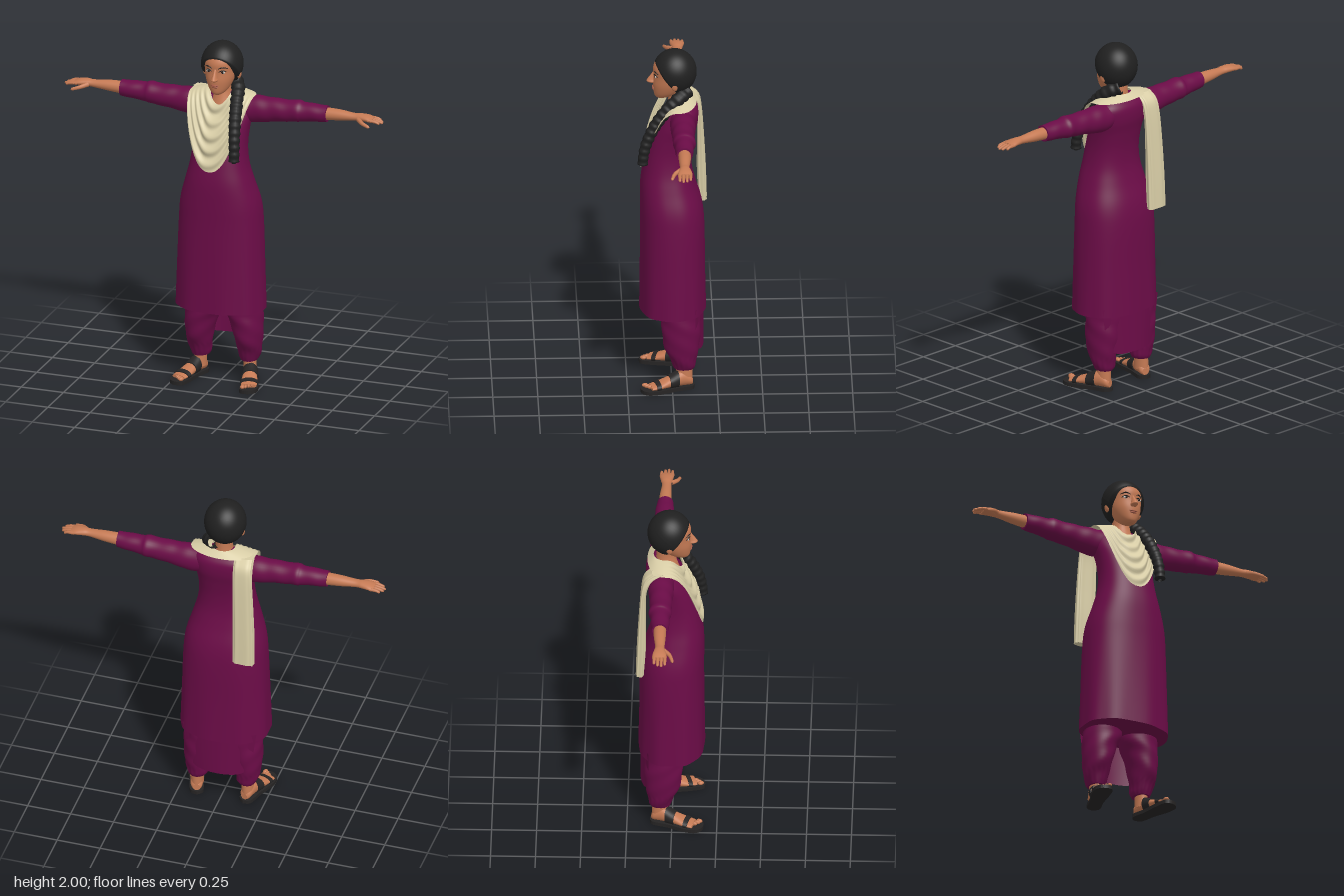
import * as THREE from 'three';

const mat = (name, color, side = THREE.FrontSide) =>
  Object.assign(new THREE.MeshStandardMaterial({ color, side }), { name });
const lerp = THREE.MathUtils.lerp;

// Catmull-Rom smoothing of section rows, column by column
function smooth(rows, n = 5) {
  const out = [], at = i => rows[Math.max(0, Math.min(rows.length - 1, i))];
  for (let i = 0; i < rows.length - 1; i++)
    for (let k = 0; k < n; k++) {
      const t = k / n;
      out.push(rows[i].map((b, c) => {
        const a = at(i - 1)[c], d = at(i + 1)[c], e = at(i + 2)[c];
        return b + 0.5 * t * (d - a + t * (2 * a - 5 * b + 4 * d - e + t * (3 * (b - d) + e - a)));
      }));
    }
  return [...out, rows[rows.length - 1]];
}

// Capped loft; a row is [s, a0, a1, b0, b1], axes run cyclically (a, b, s)
function loft(rows, axis, { power = 1, sides = 32, ripple = () => 1 } = {}) {
  const pos = [], idx = [], put = (s, a, b) =>
    pos.push(...(axis === 'y' ? [b, s, a] : axis === 'x' ? [s, a, b] : [a, b, s]));
  const ring = ([s, a0, a1, b0, b1]) => {
    for (let j = 0; j < sides; j++) {
      const h = j / sides * Math.PI * 2, c = Math.cos(h), d = Math.sin(h), r = ripple(s, h);
      put(s, (a0 + a1) / 2 + (a1 - a0) / 2 * r * Math.sign(c) * Math.abs(c) ** power,
        (b0 + b1) / 2 + (b1 - b0) / 2 * r * Math.sign(d) * Math.abs(d) ** power);
    }
  };
  rows.forEach(ring);
  for (let i = 0; i < rows.length - 1; i++)
    for (let j = 0; j < sides; j++) {
      const a = i * sides + j, b = i * sides + (j + 1) % sides;
      idx.push(a, b, b + sides, a, b + sides, a + sides);
    }
  [rows[0], rows[rows.length - 1]].forEach((row, end) => {
    const o = pos.length / 3;
    ring(row);
    put(row[0], (row[1] + row[2]) / 2, (row[3] + row[4]) / 2);
    for (let j = 0; j < sides; j++) {
      const k = (j + 1) % sides;
      idx.push(o + sides, o + (end ? j : k), o + (end ? k : j));
    }
  });
  return surface(pos, idx);
}

function surface(pos, idx) {
  const g = new THREE.BufferGeometry();
  g.setAttribute('position', new THREE.Float32BufferAttribute(pos, 3));
  g.setIndex(idx);
  g.computeVertexNormals();
  return g;
}

// Mirror in x with the corner order put right again
function mirrored(geo) {
  const g = geo.clone().scale(-1, 1, 1), ix = g.index.array;
  for (let i = 0; i < ix.length; i += 3) [ix[i], ix[i + 2]] = [ix[i + 2], ix[i]];
  g.computeVertexNormals();
  return g;
}

// Front z of an upright loft at (x, y)
function frontZ(rows, power, x, y) {
  let i = 0;
  while (i < rows.length - 2 && rows[i + 1][0] < y) i++;
  const t = THREE.MathUtils.clamp((y - rows[i][0]) / (rows[i + 1][0] - rows[i][0]), 0, 1);
  const [, z0, z1, , w] = rows[i].map((v, c) => lerp(v, rows[i + 1][c], t));
  const c = Math.min(1, Math.abs(x) / w) ** (1 / power);
  return (z0 + z1) / 2 + (z1 - z0) / 2 * (1 - c * c) ** (power / 2);
}

// Tube whose radius varies along its length
function taper(points, radius, scale, n = 40, sides = 14) {
  const curve = new THREE.CatmullRomCurve3(points.map(p => new THREE.Vector3(...p)));
  const g = new THREE.TubeGeometry(curve, n, radius, sides), p = g.attributes.position, v = new THREE.Vector3();
  for (let i = 0; i < p.count; i++) {
    const t = Math.floor(i / (sides + 1)) / n, c = curve.getPointAt(t);
    v.fromBufferAttribute(p, i).sub(c).multiplyScalar(scale(t)).add(c);
    p.setXYZ(i, v.x, v.y, v.z);
  }
  g.computeVertexNormals();
  return g;
}

const ball = (x, y, z, rx, ry, rz) => new THREE.SphereGeometry(1, 20, 14).scale(rx, ry, rz).translate(x, y, z);
const upright = ([y, w, front, back]) => [y, back, front, -w, w];

export function createModel() {
  const model = new THREE.Group();
  model.name = 'standingWoman';
  const cloth = mat('plum cloth', 0x6b0c47, THREE.DoubleSide), scarfMat = mat('cream scarf', 0xd8cda6, THREE.DoubleSide);
  const skin = mat('skin', 0xc57a54), hairMat = mat('black hair', 0x202020, THREE.DoubleSide);
  const leather = mat('dark leather', 0x262424), lipMat = mat('lips', 0xa65c48);
  const white = mat('eye white', 0xc9c4be), iris = mat('iris', 0x2a1c18);
  const add = (name, geo, m, parent = model) => {
    const mesh = new THREE.Mesh(geo, m);
    mesh.name = name;
    parent.add(mesh);
    return mesh;
  };
  const pair = (name, geo, m) => {
    add(name + 'Left', geo, m);
    add(name + 'Right', mirrored(geo), m);
  };

  // Long tunic with soft folds in the skirt
  const torso = smooth([[0.45, 0.255, 0.18, -0.19], [0.7, 0.247, 0.177, -0.185], [0.95, 0.238, 0.175, -0.182],
    [1.08, 0.226, 0.176, -0.168], [1.2, 0.193, 0.174, -0.133], [1.3, 0.166, 0.16, -0.112], [1.4, 0.154, 0.14, -0.112],
    [1.5, 0.158, 0.11, -0.128], [1.58, 0.17, 0.07, -0.146], [1.65, 0.165, 0.02, -0.146], [1.69, 0.13, -0.005, -0.12],
    [1.71, 0.07, -0.015, -0.1]].map(upright));
  const skirtFold = (y, h) => 1 + 0.012 * Math.max(0, (1 - y) / 0.55) * Math.sin(h * 9);
  add('tunic', loft(torso, 'y', { power: 0.85, sides: 72, ripple: skirtFold }), cloth);

  // Longer back panel hanging under the hem
  const panel = new THREE.PlaneGeometry(2, 1, 20, 6), pp = panel.attributes.position;
  for (let i = 0; i < pp.count; i++) {
    const u = pp.getX(i), v = pp.getY(i) + 0.5;
    pp.setXYZ(i, u * lerp(0.185, 0.215, v), lerp(0.22 + 0.06 * u ** 6, 0.5, v), -0.178 + 0.05 * u * u);
  }
  panel.computeVertexNormals();
  add('tunicBackPanel', panel, cloth);

  // Gathered trousers
  const trouser = smooth([[0.12, -0.12, -0.01, 0.095, 0.19], [0.14, -0.13, -0.003, 0.085, 0.2], [0.18, -0.135, 0.012, 0.08, 0.212],
    [0.25, -0.148, 0.045, 0.068, 0.222], [0.35, -0.158, 0.058, 0.04, 0.226], [0.43, -0.16, 0.062, 0.006, 0.222], [0.55, -0.16, 0.062, 0, 0.215]]);
  const gather = (y, h) => 1 + 0.02 * Math.sin(h * 3 + y * 55) + (y < 0.2 ? 0.02 * Math.sin(h * 14) : 0);
  pair('trouserLeg', loft(trouser, 'y', { sides: 56, ripple: gather }), cloth);
  pair('ankle', loft(smooth([[0.05, -0.112, -0.02, 0.112, 0.182], [0.15, -0.112, -0.022, 0.112, 0.178]]), 'y'), skin);

  // Feet in strapped sandals, turned outwards
  const place = g => g.rotateY(0.29).translate(0.15, 0, -0.07);
  const footRows = smooth([[-0.042, -0.02, 0.02, 0.02, 0.06], [-0.025, -0.033, 0.033, 0.018, 0.085], [0.02, -0.036, 0.036, 0.018, 0.11],
    [0.08, -0.039, 0.039, 0.018, 0.085], [0.15, -0.046, 0.046, 0.018, 0.056], [0.2, -0.043, 0.043, 0.018, 0.042]]);
  pair('foot', place(loft(footRows, 'z')), skin);
  for (let i = 0; i < 5; i++)
    pair('toe' + (i + 1), place(ball(-0.034 + i * 0.017, 0.032, 0.222 - i * 0.006 - 0.002 * i * i, i ? 0.009 : 0.013, 0.011, 0.018)), skin);
  const outline = new THREE.Shape(new THREE.SplineCurve([[0, 0.056], [0.037, 0.03], [0.04, -0.06], [0.052, -0.16], [0.042, -0.225],
    [0, -0.252], [-0.048, -0.235], [-0.05, -0.16], [-0.038, -0.06], [-0.037, 0.03], [0, 0.056]].map(p => new THREE.Vector2(...p))).getPoints(48));
  const sole = new THREE.ExtrudeGeometry(outline, { depth: 0.021, bevelEnabled: false }).rotateX(-Math.PI / 2);
  sole.setIndex([...Array(sole.attributes.position.count).keys()]);
  pair('sandalSole', place(sole), leather);
  const strap = (z0, z1) => loft(footRows.filter(r => r[0] >= z0 && r[0] <= z1)
    .map(([z, a, b, c, d]) => [z, a - 0.006, b + 0.006, c - 0.006, d + 0.006]), 'z');
  pair('instepStrap', place(strap(0.035, 0.1)), leather);
  pair('toeStrap', place(strap(0.138, 0.175)), leather);

  // Sleeves, forearms and hands
  const sleeve = smooth([[0.1, 1.54, 1.685, -0.125, 0.01], [0.19, 1.532, 1.688, -0.13, 0.012], [0.28, 1.548, 1.686, -0.122, 0.006],
    [0.39, 1.562, 1.686, -0.118, 0.004], [0.44, 1.566, 1.692, -0.122, 0.003], [0.47, 1.574, 1.684, -0.113, -0.003],
    [0.55, 1.582, 1.682, -0.107, -0.006], [0.61, 1.588, 1.68, -0.1, -0.01]], 7);
  const crease = (x, h) => 1 + 0.018 * Math.sin(x * 60 + 2 * Math.cos(h));
  pair('sleeve', loft(sleeve, 'x', { ripple: crease }), cloth);
  pair('forearm', loft(smooth([[0.58, 1.597, 1.67, -0.092, -0.02], [0.68, 1.606, 1.668, -0.088, -0.022], [0.77, 1.617, 1.66, -0.078, -0.026],
    [0.81, 1.62, 1.662, -0.084, -0.022], [0.85, 1.622, 1.658, -0.092, -0.014], [0.882, 1.622, 1.647, -0.092, -0.012]]), 'x'), skin);
  [0.92, 0.938, 0.944, 0.93].forEach((tip, i) => {
    const z = -0.082 + i * 0.02;
    pair('finger' + (i + 1), taper([[0.86, 1.637, z], [0.9, 1.634, z], [tip, 1.624, z]], 0.011,
      t => t > 0.98 ? 0.05 : 1 - 0.35 * t, 12, 8), skin);
  });
  pair('thumb', taper([[0.8, 1.635, -0.03], [0.835, 1.626, 0.004], [0.885, 1.612, 0.022]], 0.014,
    t => t > 0.98 ? 0.05 : 1 - 0.4 * t, 12, 8), skin);

  // Neck and head
  add('neck', loft(smooth([[1.62, -0.1, 0.045, -0.08, 0.08], [1.68, -0.095, 0.025, -0.058, 0.058], [1.73, -0.09, 0.015, -0.048, 0.048],
    [1.8, -0.09, 0.02, -0.05, 0.05]]), 'y'), skin);
  const head = smooth([[1.715, 0.02, 0.082, 0.03], [1.728, 0.04, 0.094, -0.005], [1.755, 0.061, 0.1, -0.045], [1.8, 0.08, 0.104, -0.08],
    [1.85, 0.09, 0.1, -0.1], [1.9, 0.094, 0.102, -0.11], [1.94, 0.082, 0.082, -0.1], [1.97, 0.052, 0.045, -0.07]].map(upright));
  add('head', loft(head, 'y', { sides: 48 }), skin);
  const face = (x, y) => frontZ(head, 1, x, y);
  add('nose', loft(smooth([[1.802, 0.012, 0.118, 0.08], [1.812, 0.02, 0.139, 0.08], [1.825, 0.015, 0.135, 0.08],
    [1.85, 0.01, 0.117, 0.08], [1.875, 0.008, 0.1, 0.08]].map(upright)), 'y'), skin);
  add('upperLip', ball(0, 1.777, face(0, 1.777), 0.025, 0.005, 0.007), lipMat);
  add('lowerLip', ball(0, 1.768, face(0, 1.768), 0.02, 0.006, 0.007), lipMat);
  pair('eye', ball(0.04, 1.856, face(0.04, 1.856), 0.016, 0.008, 0.004), white);
  pair('iris', ball(0.04, 1.856, face(0.04, 1.856) + 0.003, 0.007, 0.007, 0.003), iris);
  const line = pts => taper(pts.map(([x, y]) => [x, y, face(x, y) + 0.001]), 0.0035, t => 0.4 + 0.6 * Math.sin(Math.PI * t), 14, 6);
  pair('eyelid', line([[0.02, 1.858], [0.04, 1.866], [0.06, 1.857]]), hairMat);
  pair('eyebrow', line([[0.018, 1.876], [0.042, 1.885], [0.066, 1.876]]), hairMat);
  pair('ear', ball(0.1, 1.825, -0.015, 0.013, 0.032, 0.02), skin);

  // Swept-back hair, its rim tucked in to the head
  const cap = new THREE.SphereGeometry(1, 48, 28, 0, Math.PI * 2, 0, 2.05), cp = cap.attributes.position;
  for (let i = 0; i < cp.count; i++) {
    const k = Math.floor(i / 49) === 28 ? 0.78 : 1;
    cp.setXYZ(i, cp.getX(i) * k, cp.getY(i), cp.getZ(i) * k);
  }
  cap.rotateX(-0.9).scale(0.118, 0.13, 0.123).translate(0, 1.87, -0.017).computeVertexNormals();
  add('hair', cap, hairMat);

  // Plait falling over the left shoulder
  add('plait', taper([[0.04, 1.77, -0.09], [0.085, 1.74, -0.04], [0.105, 1.67, 0.035], [0.118, 1.58, 0.1], [0.13, 1.48, 0.145],
    [0.135, 1.41, 0.16], [0.135, 1.355, 0.165]], 0.04,
  t => (t > 0.985 ? 0.3 : t > 0.86 ? 0.72 : 1 - 0.3 * t) * (1 + 0.07 * Math.sin(t * 85)), 90), hairMat);

  // Draped scarf: closed loops round the neck, sagging deeper outwards
  const pos = [], idx = [], NT = 36, NU = 72;
  for (let i = 0; i <= NT; i++)
    for (let j = 0; j < NU; j++) {
      const t = i / NT, h = j / NU * Math.PI * 2, c = Math.cos(h), s = Math.sin(h);
      const x = lerp(0.066, 0.188, t ** 0.8) * c - 0.012 * t * Math.max(0, s);
      const top = lerp(1.725, 1.695, t), dip = 1 - Math.abs(c) ** 2.3;
      let y = top, z = -0.045 + s * lerp(0.06, 0.095, t);
      if (s > 0) {
        y -= lerp(0.075, 0.41, t) * dip;
        z = Math.max(-0.045 + lerp(0.1, 0.225, t) * s ** 0.75, s > 0.15 ? frontZ(torso, 0.85, x, y) + 0.012 : -1);
        z += 0.008 * s * Math.sin(t * 30 + c * 2.5);
      }
      pos.push(x, y, z);
      const a = i * NU + j, b = i * NU + (j + 1) % NU;
      if (i < NT) idx.push(a, b, b + NU, a, b + NU, a + NU);
    }
  add('scarfDrape', surface(pos, idx), scarfMat);

  // Scarf end hanging down the back on the right
  const pleat = (y, h) => 1 + 0.05 * Math.sin(h * 8);
  add('scarfTail', loft(smooth([[1.03, -0.2, -0.155, -0.215, -0.095], [1.2, -0.195, -0.145, -0.213, -0.095], [1.4, -0.185, -0.145, -0.205, -0.092],
    [1.58, -0.172, -0.14, -0.195, -0.088], [1.66, -0.155, -0.1, -0.19, -0.085], [1.7, -0.11, -0.04, -0.185, -0.08]]), 'y',
  { power: 0.6, sides: 48, ripple: pleat }), scarfMat);

  return model;
}
